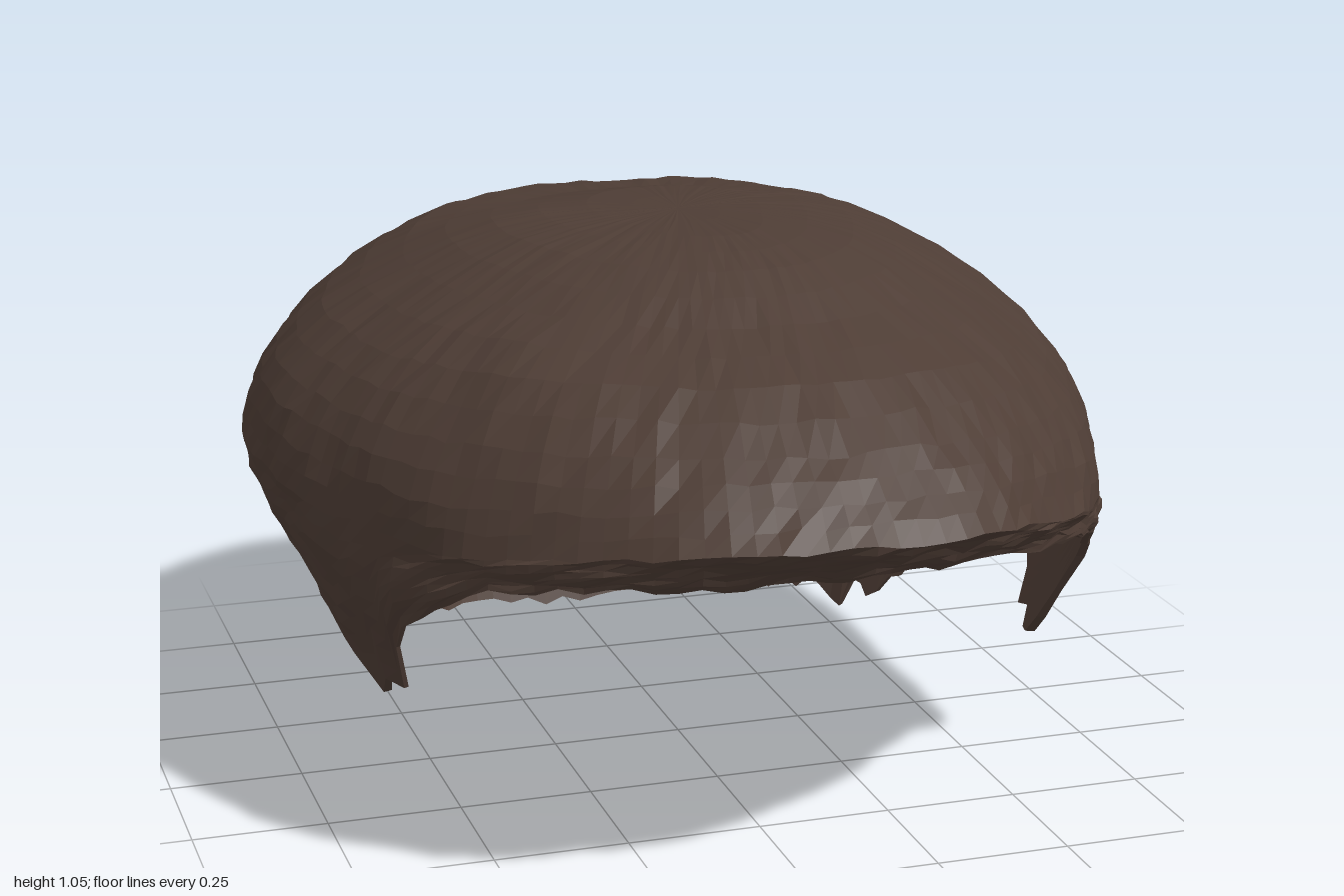
import * as THREE from 'three';

const COLS = 128, UP = 14, LOW = 9;

// seeded random numbers
function makeRandom(seed) {
  return () => {
    seed = (seed * 16807) % 2147483647;
    return seed / 2147483647;
  };
}

const v = (x, y, z = 0) => new THREE.Vector3(x, y, z);
const mix = THREE.MathUtils.lerp;
const smooth = THREE.MathUtils.smoothstep;
const bump = (x, centre, width) => Math.exp(-(((x - centre) / width) ** 2));

// piecewise linear lookup in [key, value] pairs with rising keys
function lookup(table, key) {
  if (key <= table[0][0]) return table[0][1];
  for (let i = 1; i < table.length; i++) {
    const [k0, a] = table[i - 1], [k1, b] = table[i];
    if (key <= k1) return mix(a, b, (key - k0) / (k1 - k0));
  }
  return table[table.length - 1][1];
}

// widest outline seen from above, one half from front to back (x, z)
const outline = new THREE.CatmullRomCurve3([
  [0, 1], [0.21, 0.965], [0.4, 0.84], [0.56, 0.66], [0.67, 0.43], [0.745, 0.22], [0.785, 0],
  [0.795, -0.22], [0.745, -0.46], [0.65, -0.66], [0.49, -0.84], [0.26, -0.965], [0, -1],
].map(([x, z]) => v(x, 0, z)));

// crown-to-widest profiles (share of the outline radius, height)
const profile = (pts) => new THREE.CatmullRomCurve3(pts.map(([s, y]) => v(s, y)));
const frontTop = profile([[0, 1.06], [0.25, 1.06], [0.4, 1.03], [0.55, 0.965], [0.72, 0.905], [0.86, 0.82], [0.94, 0.76], [1, 0.7]]);
const sideTop = profile([[0, 1.06], [0.2, 1.06], [0.42, 1.035], [0.62, 0.965], [0.81, 0.87], [0.925, 0.78], [0.985, 0.69], [1, 0.61]]);
const backTop = profile([[0, 1.06], [0.22, 1.055], [0.43, 1.01], [0.63, 0.985], [0.8, 0.9], [0.905, 0.78], [0.97, 0.66], [1, 0.53]]);

// tuck-in below the widest line (height, share of radius)
const sideLow = [[0.09, 0.68], [0.27, 0.8], [0.43, 0.915], [0.54, 0.98], [0.61, 1]];
const backLow = [[0.01, 0.81], [0.12, 0.855], [0.25, 0.91], [0.35, 0.952], [0.45, 0.99], [0.53, 1]];

// hem height along the half outline: fringe, side lock, ear notch, nape
const hemLine = [[0, 0.61], [2, 0.6], [3, 0.575], [3.6, 0.5], [4.1, 0.39], [4.4, 0.27], [5, 0.26], [5.3, 0.35],
  [6, 0.42], [6.8, 0.41], [7.3, 0.36], [7.6, 0.2], [8, 0.12], [9, 0.07], [10.5, 0.06], [11.2, 0.03], [12, 0.005]];

// outer and inner cross-section for one direction around the head
function column(i, random) {
  const turn = i / COLS;
  const side = turn <= 0.5 ? 1 : -1;
  const k = 12 * (side > 0 ? turn * 2 : 2 - turn * 2);
  const rim = outline.getPoint(k / 12);
  rim.x = side * rim.x + 0.03 * rim.z * rim.z;
  const front = 1 - smooth(k, 0.5, 4), back = smooth(k, 6.8, 10.8);
  const ragged = k > 3.6 ? (random() - 0.4) * (k > 10.5 ? 0.025 : 0.06) : (random() - 0.5) * 0.02;
  const hem = lookup(hemLine, k) + ragged;
  const lock = bump(k, 4.6, 1);
  const fullness = side < 0 ? 0.025 * bump(k, 3, 1.4) : 0;

  const rows = [];
  for (let j = 0; j <= UP; j++) {
    const t = j / UP;
    const p = sideTop.getPoint(t).lerp(frontTop.getPoint(t), front).lerp(backTop.getPoint(t), back);
    rows.push([p.x, p.y + fullness * bump(p.x, 0.8, 0.15)]);
  }
  const widest = rows[UP][1];
  for (let j = 1; j <= LOW; j++) {
    const y = mix(widest, hem, j / LOW);
    let s = mix(lookup(sideLow, y), lookup(backLow, y), back);
    s = mix(s, 1 - 1.35 * (widest - y), front) + 0.09 * lock * j / LOW;
    rows.push([s, y]);
  }

  // uneven locks: shallow broad ridges plus a little roughness
  const outer = rows.map(([s, y], j) => {
    const ridge = 0.005 * Math.sin(k * 3.1 + j * 0.8 + side) + 0.003 * Math.sin(k * 7.3 - j * 1.1);
    const r = s * (1 + (ridge + (random() - 0.5) * 0.006) * s);
    const lift = j && j < UP + LOW ? (random() - 0.5) * 0.01 * s : 0;
    return v(rim.x * r, y + lift, rim.z * r);
  });

  // thin lining, closing up towards the hem
  const inner = rows.map(([s, y], j) => {
    const low = Math.max(0, (j - UP) / LOW);
    const r = s * mix(0.96, 0.98, low);
    return v(rim.x * r, y - 0.03 * (1 - low), rim.z * r);
  });
  return { outer, inner: [outer[outer.length - 1], ...inner.reverse()] };
}

// skin around a ring of cross-sections
function skin(columns) {
  const n = columns[0].length, index = [];
  for (let i = 0; i < columns.length; i++) {
    const next = (i + 1) % columns.length;
    for (let j = 0; j < n - 1; j++) {
      const a = i * n + j, c = next * n + j;
      index.push(a, a + 1, c, c, a + 1, c + 1);
    }
  }
  const geometry = new THREE.BufferGeometry().setFromPoints(columns.flat());
  geometry.setIndex(index);
  geometry.computeVertexNormals();
  return geometry;
}

export function createModel() {
  const random = makeRandom(4217);
  const hairBrown = new THREE.MeshStandardMaterial({ color: 0x4e3d35, flatShading: true });
  hairBrown.name = 'hairBrown';

  const columns = Array.from({ length: COLS }, (_, i) => column(i, random));
  const group = new THREE.Group();
  group.name = 'hair';
  for (const [name, key] of [['outerHair', 'outer'], ['innerHair', 'inner']]) {
    const mesh = new THREE.Mesh(skin(columns.map((c) => c[key])), hairBrown);
    mesh.name = name;
    group.add(mesh);
  }
  return group;
}
